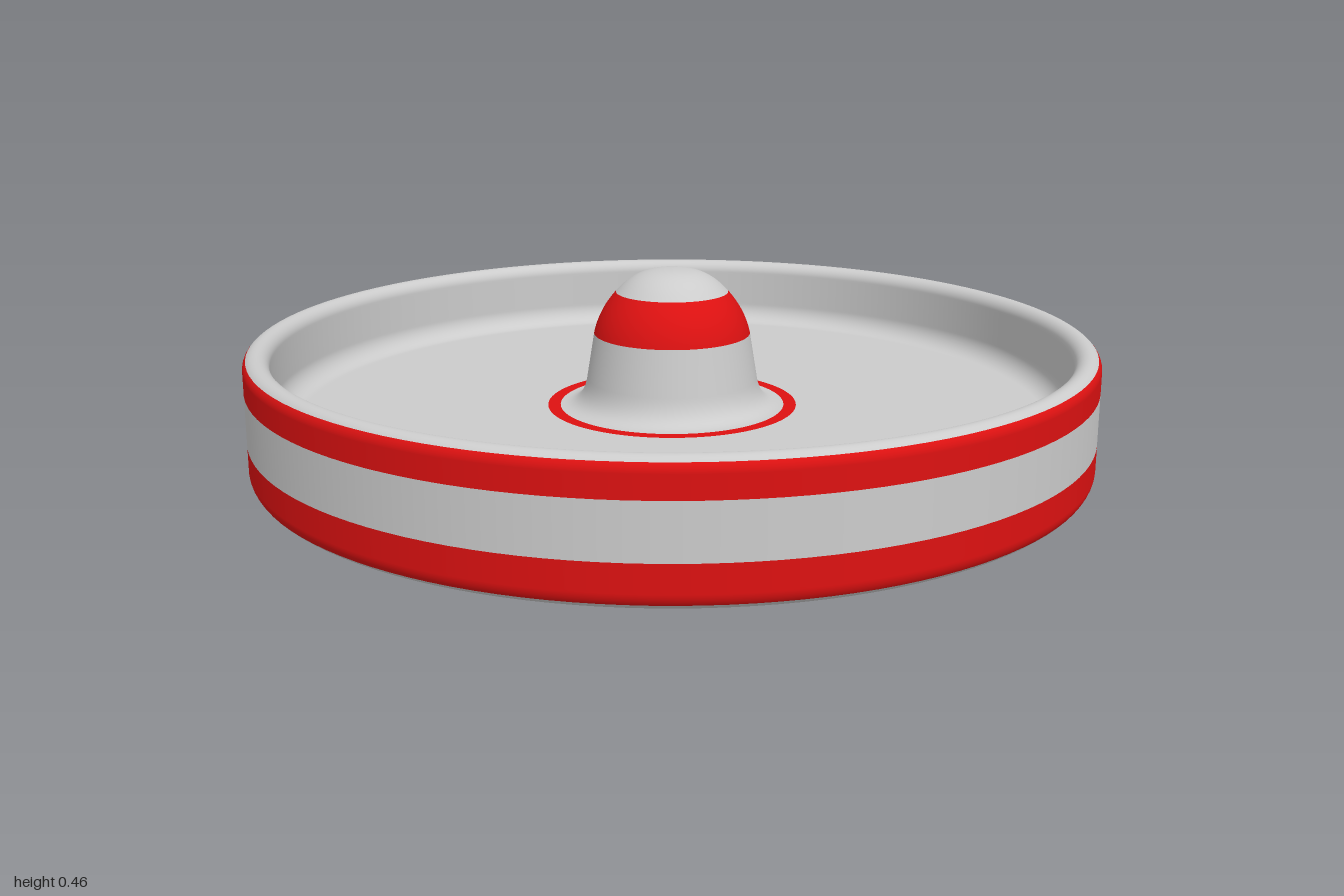
import * as THREE from 'three';

const GREY = 0xcccccc, RED = 0xdd1111;
const FLOOR = 0.125; // height of the dish floor

// Revolve one stretch of the profile, drawn from the start point by a callback.
function band(group, name, color, start, draw) {
  const path = new THREE.Path();
  path.moveTo(...start);
  draw(path);
  const points = path.getPoints(12).map((p) => new THREE.Vector2(Math.max(p.x, 0), p.y));
  const mesh = new THREE.Mesh(
    new THREE.LatheGeometry(points, 128),
    new THREE.MeshStandardMaterial({ color, side: THREE.DoubleSide })
  );
  mesh.name = name;
  group.add(mesh);
}

export function createModel() {
  const dish = new THREE.Group();
  dish.name = 'dish';
  const knob = new THREE.Group();
  knob.name = 'knob';

  // Rounded edges: lower fillet and rim, each split where the colour changes
  const low = Math.asin(-0.625), high = Math.asin(0.667);
  const lowSplit = [0.96 + 0.04 * Math.cos(low), 0.04 + 0.04 * Math.sin(low)];
  const rimSplit = [0.97 + 0.03 * Math.cos(high), 0.27 + 0.03 * Math.sin(high)];

  // Outside of the dish, from the underside up
  band(dish, 'underside', GREY, [0, 0], (p) => p
    .lineTo(0.95, 0)
    .absarc(0.96, 0.04, 0.04, -Math.PI / 2, low, false));
  band(dish, 'lowerStripe', RED, lowSplit, (p) => p
    .absarc(0.96, 0.04, 0.04, low, 0, false)
    .lineTo(1, 0.045)
    .lineTo(1, 0.1));
  band(dish, 'sideWall', GREY, [1, 0.1], (p) => p.lineTo(1, 0.22));
  band(dish, 'upperStripe', RED, [1, 0.22], (p) => p
    .lineTo(1, 0.265)
    .absarc(0.97, 0.27, 0.03, 0, high, false));

  // Rim, inner wall and floor
  band(dish, 'rimAndFloor', GREY, rimSplit, (p) => p
    .absarc(0.97, 0.27, 0.03, high, Math.PI, false)
    .lineTo(0.94, 0.265)
    .lineTo(0.94, 0.18)
    .absarc(0.89, FLOOR + 0.05, 0.05, 0, -Math.PI / 2, true)
    .lineTo(0.88, FLOOR)
    .lineTo(0.3, FLOOR));
  band(dish, 'floorRing', RED, [0.3, FLOOR], (p) => p.lineTo(0.27, FLOOR));

  // Central knob
  band(knob, 'knobNeck', GREY, [0.27, FLOOR], (p) => p
    .quadraticCurveTo(0.215, FLOOR, 0.205, 0.19)
    .lineTo(0.187, 0.3));
  band(knob, 'knobStripe', RED, [0.187, 0.3], (p) => p
    .quadraticCurveTo(0.175, 0.355, 0.134, 0.4));
  band(knob, 'knobCap', GREY, [0.134, 0.4], (p) => p
    .bezierCurveTo(0.09, 0.449, 0.05, 0.455, 0, 0.455));

  dish.add(knob);
  return dish;
}
